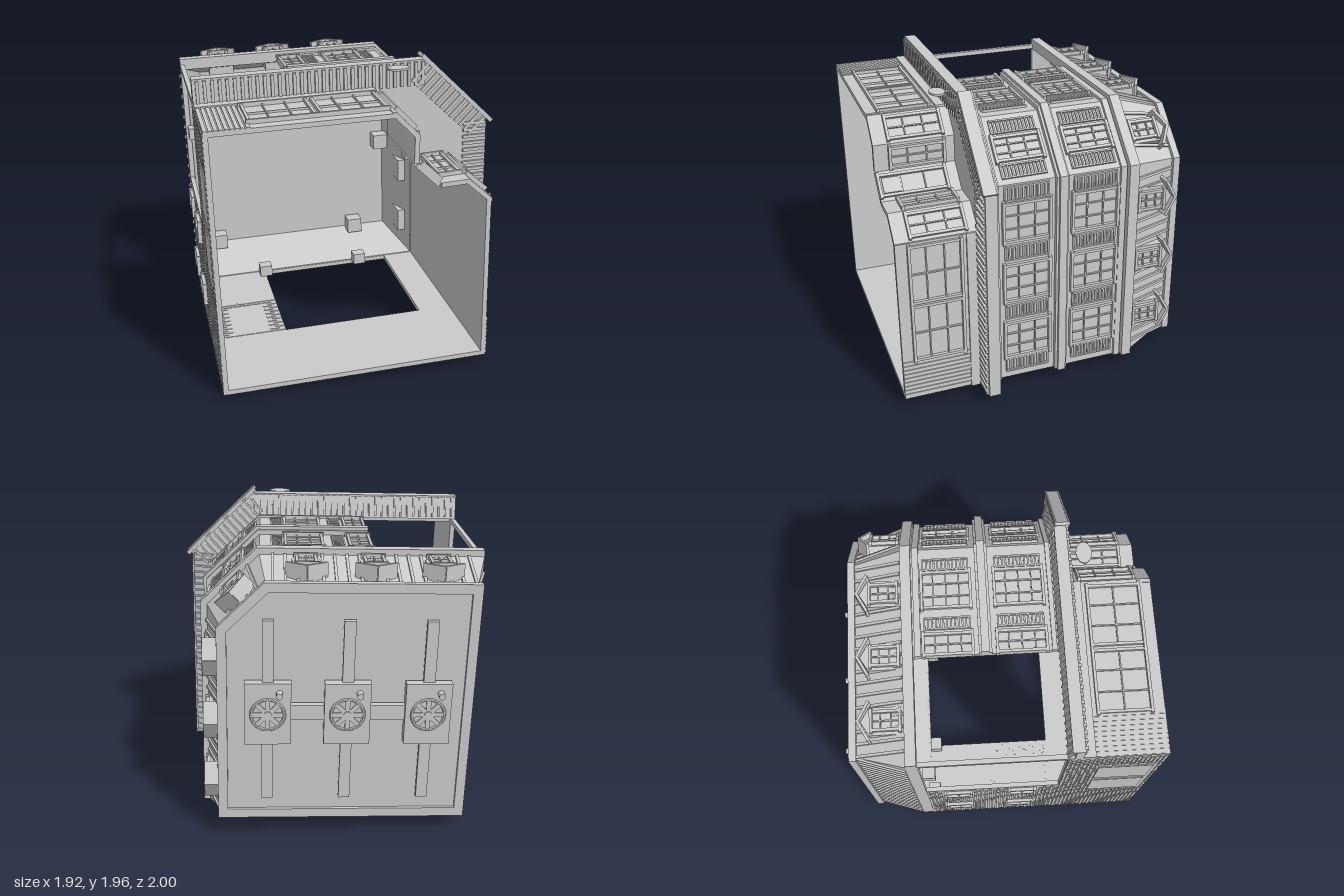
import * as THREE from 'three';
import { mergeGeometries } from 'three/addons/utils/BufferGeometryUtils.js';

const mat = new THREE.MeshStandardMaterial({ color: 0xcccccc, flatShading: true, side: THREE.DoubleSide });

function add(parent, name, geo, x = 0, y = 0, z = 0) {
  const m = new THREE.Mesh(geo, mat);
  m.name = name;
  m.position.set(x, y, z);
  parent.add(m);
  return m;
}
const box = (p, name, w, h, d, x, y, z) => add(p, name, new THREE.BoxGeometry(w, h, d), x, y, z);
const shapeOf = pts => new THREE.Shape(pts.map(p => new THREE.Vector2(...p)));
const rect = ([x0, x1, y0, y1]) => [[x0, y0], [x1, y0], [x1, y1], [x0, y1]];

// Corner-building outline, inset by d; the building lies on its back, height h runs along -z
const plan = d => [[d, d], [d, 1.7 - d], [1.38 - 0.414 * d, 1.7 - d], [1.7 - d, 1.38 - 0.414 * d], [1.7 - d, d]];

function slab(parent, name, pts, h0, h1) {
  return add(parent, name, new THREE.ExtrudeGeometry(shapeOf(pts), { depth: h1 - h0, bevelEnabled: false }), 0, 0, 1 - h1);
}

// Sloping surface between two outlines
function loft(parent, name, A, hA, B, hB, closed) {
  const pos = [], idx = [], n = A.length;
  A.forEach((p, i) => pos.push(...p, 1 - hA, ...B[i], 1 - hB));
  for (let i = 0; i < (closed ? n : n - 1); i++) {
    const a = 2 * i, b = 2 * ((i + 1) % n);
    idx.push(a, a + 1, b, b, a + 1, b + 1);
  }
  const g = new THREE.BufferGeometry();
  g.setAttribute('position', new THREE.Float32BufferAttribute(pos, 3));
  g.setIndex(idx);
  const flat = g.toNonIndexed();
  flat.computeVertexNormals();
  return add(parent, name, flat);
}

// Frame along a wall: x along it, y up the building, z outward
function frame(parent, name, a, b) {
  const g = new THREE.Group();
  const d = new THREE.Vector3(b[0] - a[0], b[1] - a[1], 0);
  g.userData.length = d.length();
  d.normalize();
  const up = new THREE.Vector3(0, 0, -1);
  g.quaternion.setFromRotationMatrix(new THREE.Matrix4().makeBasis(d, up, d.clone().cross(up)));
  g.position.set(a[0], a[1], 1);
  g.name = name;
  parent.add(g);
  return g;
}

function wall(parent, name, a, b, h0, h1, holes = []) {
  const g = frame(parent, name, a, b);
  const s = shapeOf(rect([0, g.userData.length, h0, h1]));
  holes.forEach(r => s.holes.push(new THREE.Path(rect(r).map(p => new THREE.Vector2(...p)))));
  add(g, name + 'Panel', new THREE.ExtrudeGeometry(s, { depth: 0.03, bevelEnabled: false }), 0, 0, -0.03);
  return g;
}

function windowUnit(g, x, y, w, h, cols, rows, z = 0) {
  const f = 0.018;
  for (const s of [-1, 1]) {
    box(g, 'windowJamb', f, h, 0.026, x + s * (w - f) / 2, y, z + 0.008);
    box(g, s < 0 ? 'windowSill' : 'windowHead', w + 0.02, f, 0.034, x, y + s * (h - f) / 2, z + 0.01);
  }
  for (let i = 1; i < cols; i++) box(g, 'mullion', 0.008, h, 0.016, x - w / 2 + w * i / cols, y, z + 0.005);
  for (let i = 1; i < rows; i++) box(g, 'glazingBar', w, 0.008, 0.016, x, y - h / 2 + h * i / rows, z + 0.005);
}

function shutter(g, x, y, w, h) {
  for (const s of [-1, 1]) box(g, 'shutterStile', 0.01, h, 0.02, x + s * (w / 2 - 0.005), y, 0.006);
  for (let i = 0; i <= 12; i++) box(g, 'shutterSlat', w, 0.01, 0.014, x, y - h / 2 + h * i / 12, 0.004);
}

function boards(g, x0, x1, h0, h1, step = 0.03) {
  for (let x = x0 + step / 2; x < x1; x += step) box(g, 'sidingBoard', step * 0.75, h1 - h0, 0.008, x, (h0 + h1) / 2, 0.002);
}

// Brick relief in running bond, leaving out the given rectangles
function bricks(g, x0, x1, h0, h1, skip, z = 0) {
  const w = 0.07, h = 0.026, list = [];
  for (let r = 0, y = h0 + h / 2; y < h1 - h / 3; y += h, r++)
    for (let x = x0 + w * (r % 2 ? 1 : 0.5); x < x1 - w * 0.4; x += w) {
      if (skip.some(q => x + w / 2 > q[0] && x - w / 2 < q[1] && y + h / 2 > q[2] && y - h / 2 < q[3])) continue;
      list.push(new THREE.BoxGeometry(w - 0.008, h - 0.007, 0.008).translate(x, y, z));
    }
  add(g, 'brickwork', mergeGeometries(list));
}

function dormer(g, x) {
  box(g, 'dormerBody', 0.17, 0.2, 0.1, x, 1.66, -0.06);
  const gable = shapeOf([[-0.085, 0], [0.085, 0], [0, 0.05]]);
  add(g, 'dormerGable', new THREE.ExtrudeGeometry(gable, { depth: 0.1, bevelEnabled: false }), x, 1.76, -0.11);
  for (const s of [-1, 1]) {
    box(g, 'dormerRoof', 0.14, 0.018, 0.14, x + s * 0.06, 1.792, -0.05).rotation.z = -s * 0.5;
  }
  windowUnit(g, x, 1.66, 0.13, 0.19, 2, 3, -0.008);
}

// Roof fan unit with rail and pipe
function roofFan(parent, u) {
  const g = new THREE.Group();
  g.name = 'roofFan';
  g.position.set(u, 0.82, 1);
  parent.add(g);
  box(g, 'roofRail', 0.07, 1.18, 0.03, 0, 0, -1.905);
  box(g, 'fanBox', 0.28, 0.4, 0.06, 0, 0, -1.915);
  add(g, 'fanRing', new THREE.TorusGeometry(0.1, 0.01, 6, 24), 0, 0, -1.948);
  add(g, 'fanHub', new THREE.CylinderGeometry(0.025, 0.025, 0.02, 12).rotateX(Math.PI / 2), 0, 0, -1.95);
  for (let i = 0; i < 8; i++) {
    const a = i * Math.PI / 4;
    box(g, 'fanBlade', 0.08, 0.028, 0.008, Math.cos(a) * 0.058, Math.sin(a) * 0.058, -1.95).rotation.z = a;
  }
  add(g, 'roofPipe', new THREE.CylinderGeometry(0.02, 0.02, 0.08, 12).rotateX(Math.PI / 2), -0.07, 0.14, -1.96);
}

export function createModel() {
  const root = new THREE.Group();
  root.name = 'cornerBuilding';
  const G = new THREE.Group();
  G.name = 'building';
  G.position.set(-0.9, 0.01, 0);
  G.rotation.z = 0.0285;
  root.add(G);
  const [p0, p1, p2, p3, p4] = plan(0);

  // Rear brick walls with large openings on the upper floors
  const sideHole = [0.87, 1.67, 0.6, 1.48], rearHole = [0.25, 1.2, 0.6, 1.48];
  const sideWall = wall(G, 'sideWall', p0, p1, 0, 1.5, [sideHole]);
  const rearWall = wall(G, 'rearWall', p4, p0, 0, 1.5, [rearHole]);
  const sideSkip = [sideHole], rearSkip = [rearHole];
  for (const h of [0.84, 1.27]) {
    for (const s of [0.3, 0.76]) {
      windowUnit(sideWall, s, h, 0.13, 0.19, 2, 2);
      sideSkip.push([s - 0.065, s + 0.065, h - 0.095, h + 0.095]);
    }
    for (const s of [0.125, 1.45]) {
      windowUnit(rearWall, s, h, 0.13, 0.19, 2, 2);
      rearSkip.push([s - 0.065, s + 0.065, h - 0.095, h + 0.095]);
    }
  }
  for (const s of [0.83, 1.24]) {
    box(sideWall, 'blankPanel', 0.34, 0.34, 0.012, s, 0.22, 0);
    sideSkip.push([s - 0.17, s + 0.17, 0.05, 0.39]);
  }
  bricks(sideWall, 0, 1.7, 0, 1.5, sideSkip);
  bricks(rearWall, 0, 1.7, 0, 1.5, rearSkip);
  bricks(rearWall, 1.2, 1.67, 0.6, 1.05, [[1.33, 1.53, 0.65, 0.97]], -0.03);

  // Shop floor with recessed corner entrance
  const shop = [p1, [1.11, 1.7], [1.245, 1.555], [1.24, 1.38], [1.38, 1.24], [1.555, 1.245], [1.7, 1.11], p4];
  const shopNames = ['shopFront', 'entrySplay', 'entryCheek', 'entryDoorWall', 'entryCheek', 'entrySplay', 'shopSide'];
  shopNames.forEach((name, i) => {
    const g = wall(G, name, shop[i], shop[i + 1], 0, 0.56), L = g.userData.length;
    if (i === 0 || i === 6) {
      const xs = i === 0 ? [0.46, 0.88] : [0.22, 0.63];
      boards(g, 0, xs[0] - 0.2, 0, 0.55);
      boards(g, xs[1] + 0.2, L, 0, 0.55);
      for (const x of xs) windowUnit(g, x, 0.24, 0.4, 0.34, i === 0 ? 3 : 2, i === 0 ? 2 : 3);
      box(g, 'fascia', L, 0.07, 0.02, L / 2, 0.47, 0.004);
    } else if (i === 3) {
      windowUnit(g, L / 2, 0.22, 0.15, 0.44, 1, 3);
      box(g, 'doorPanel', 0.1, 0.12, 0.014, L / 2, 0.09, 0.004);
    } else windowUnit(g, L / 2, 0.27, L * 0.8, 0.36, 2, 3);
  });

  // Projecting canopy over the shop
  const eave = plan(-0.16).slice(1);
  eave[0][0] = 0;
  eave[3][1] = 0;
  slab(G, 'canopy', [...eave, ...shop.slice().reverse()], 0.51, 0.56);
  loft(G, 'canopyRoof', [p1, p2, p3, p4], 0.6, eave, 0.56, false);
  for (let i = 0; i < 3; i++) {
    const g = frame(G, 'canopyTrim', eave[i], eave[i + 1]), L = g.userData.length;
    box(g, 'canopyLip', L, 0.04, 0.012, L / 2, 0.565, -0.006);
    for (let x = 0.03; x < L; x += 0.045) {
      box(g, 'canopyTile', 0.012, 0.012, 0.14, x, 0.585, -0.08).rotation.x = 0.25;
      box(g, 'dentil', 0.02, 0.025, 0.15, x, 0.505, -0.085);
    }
  }

  // Blank corner signboard and hanging plaque
  const board = frame(G, 'signboard', [1.42, 1.89], [1.89, 1.42]);
  const bl = board.userData.length;
  box(board, 'signPanel', bl, 0.09, 0.02, bl / 2, 0.535, 0);
  for (const h of [0.494, 0.576]) box(board, 'signBorder', bl, 0.01, 0.028, bl / 2, h, 0);
  add(G, 'plaque', new THREE.CylinderGeometry(0.07, 0.07, 0.012, 20), 1.24, 1.845, 0.585).scale.z = 0.7;
  box(G, 'plaqueHanger', 0.012, 0.012, 0.08, 1.24, 1.845, 0.52);

  // Upper street walls
  const front = wall(G, 'upperFront', [0.67, 1.7], p2, 0.55, 1.5);
  const corner = wall(G, 'upperCorner', p2, p3, 0.55, 1.5);
  const right = wall(G, 'upperSide', p3, p4, 0.55, 1.5);
  for (const h of [0.82, 1.27]) {
    windowUnit(front, 0.075, h, 0.15, 0.32, 2, 4);
    windowUnit(front, 0.43, h, 0.25, 0.32, 3, 4);
    for (const x of [0.21, 0.6]) shutter(front, x, h, 0.08, 0.28);
    windowUnit(corner, 0.226, h, 0.17, 0.32, 3, 3);
    for (const x of [0.08, 0.372]) shutter(corner, x, h, 0.09, 0.28);
    for (const x of [0.25, 0.67, 1.09]) windowUnit(right, x, h, 0.27, 0.32, 3, 3);
    for (const x of [0.06, 0.46, 0.88, 1.28]) shutter(right, x, h, 0.1, 0.28);
  }
  for (const g of [front, corner, right]) {
    const L = g.userData.length;
    for (const [h, t, d] of [[0.625, 0.03, 0.015], [1.045, 0.05, 0.05], [1.075, 0.02, 0.03], [1.015, 0.02, 0.03], [1.455, 0.04, 0.02]]) {
      const a = g === front ? 0 : 0.414 * d, b = g === right ? 0 : 0.414 * d;
      box(g, 'beltCourse', L + a + b, t, d + 0.01, (L + b - a) / 2, h, (d - 0.01) / 2);
    }
  }

  // Mansard roof with seams, dormers and flat cap
  const rim = plan(-0.04).map(([x, y]) => [Math.max(x, 0), Math.max(y, 0)]);
  const ring = shapeOf(rim);
  ring.holes.push(new THREE.Path(plan(0.035).map(p => new THREE.Vector2(...p))));
  add(G, 'roofCornice', new THREE.ExtrudeGeometry(ring, { depth: 0.065, bevelEnabled: false }), 0, 0, -0.55);
  loft(G, 'mansardSlope', plan(0), 1.55, plan(0.1), 1.86, true);
  loft(G, 'mansardLining', plan(0.035), 1.5, plan(0.16), 1.85, true);
  slab(G, 'roofDeck', plan(0.1), 1.845, 1.87);
  const curb = shapeOf(plan(0.07));
  curb.holes.push(new THREE.Path(plan(0.13).map(p => new THREE.Vector2(...p))));
  add(G, 'roofCurb', new THREE.ExtrudeGeometry(curb, { depth: 0.045, bevelEnabled: false }), 0, 0, -0.89);
  const P = plan(0), dormers = [[], [0.29, 0.69, 1.1], [0.226], [0.26, 0.68, 1.1], []];
  P.forEach((a, i) => {
    const g = frame(G, 'roofSide', a, P[(i + 1) % 5]), L = g.userData.length;
    const slope = new THREE.Group();
    slope.name = 'roofSeams';
    slope.position.y = 1.55;
    slope.rotation.x = -Math.atan2(0.1, 0.31);
    g.add(slope);
    for (let x = 0.1; x < L - 0.06; x += 0.075) box(slope, 'roofSeam', 0.018, 0.31, 0.02, x, 0.16, 0.003);
    dormers[i].forEach(x => dormer(g, x));
  });

  // Rooftop fans
  for (const u of [0.355, 0.845, 1.325]) roofFan(G, u);
  box(G, 'fanDuct', 0.97, 0.1, 0.04, 0.84, 0.82, -0.9);

  // Inner mounting blocks
  for (const [x, y] of [[0.88, 1.62], [0.06, 1.22], [0.08, 0.48], [1.64, 0.89], [0.5, 0.07], [1.23, 0.07]])
    box(G, 'mountingBlock', 0.09, 0.08, 0.08, x, y, -0.44);
  for (const [x, y] of [[0.88, 1.5], [0.18, 1.2], [1.5, 0.89], [0.2, 0.2], [1.28, 0.2]])
    box(G, 'roofBlock', 0.11, 0.11, 0.1, x, y, -0.78);
  return root;
}
